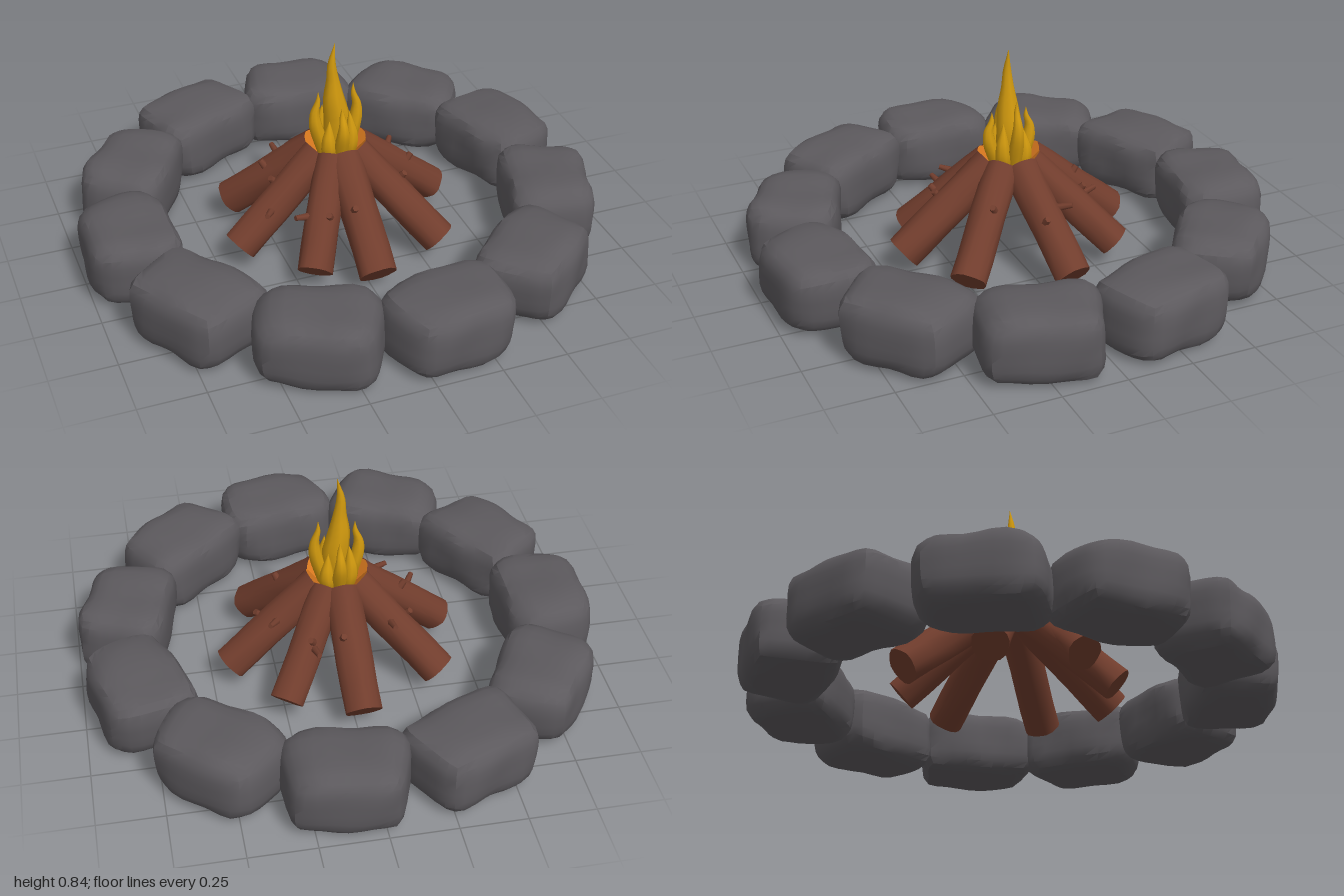
import * as THREE from 'three';
import { toCreasedNormals } from 'three/addons/utils/BufferGeometryUtils.js';

const material = (name, color) => {
  const m = new THREE.MeshStandardMaterial({ color });
  m.name = name;
  return m;
};

// Move every vertex of a geometry by a rule
function reshape(geometry, rule) {
  const p = geometry.attributes.position, v = new THREE.Vector3();
  for (let i = 0; i < p.count; i++) {
    rule(v.fromBufferAttribute(p, i));
    p.setXYZ(i, v.x, v.y, v.z);
  }
  return geometry;
}

// Rounded, lumpy block; x is radial, z runs along the ring
function stoneGeometry(seed) {
  const s = seed * 2.37, n = 4.2;
  const geometry = reshape(new THREE.BoxGeometry(2, 2, 2, 7, 7, 8), (v) => {
    const { x, y, z } = v;
    const norm = Math.pow(Math.abs(x) ** n + Math.abs(y) ** n + Math.abs(z) ** n, 1 / n);
    const lump = 1 + 0.035 * Math.sin(3.1 * x + s) * Math.cos(2.7 * z - s)
      + 0.025 * Math.sin(5.3 * z + 2 * y + 1.7 * s);
    v.multiplyScalar(lump / norm);
    // outer side a little narrower than the inner side
    v.z *= 1 - 0.06 * v.x;
    v.set(v.x * 0.17, THREE.MathUtils.clamp(v.y * 0.134, -0.13, 0.136), v.z * 0.226);
  });
  return toCreasedNormals(geometry, 0.55);
}

// Log along y with bark grooves; caps stay separate material groups
function logGeometry(length, radius, seed) {
  const geometry = reshape(new THREE.CylinderGeometry(radius, radius, length, 16, 5), (v) => {
    const a = Math.atan2(v.z, v.x);
    const k = 1 + 0.035 * Math.sin(5 * a + seed) + 0.025 * Math.sin(3 * a + 18 * v.y + seed * 2);
    v.x *= k;
    v.z *= k;
  });
  return toCreasedNormals(geometry, 0.7);
}

// Tapering flame through rows of [out, height, radius]
function flameGeometry(rows) {
  const sides = 8, steps = 16, positions = [], index = [];
  const path = new THREE.CatmullRomCurve3(rows.map(([x, y]) => new THREE.Vector3(x, y, 0)));
  const radii = new THREE.CatmullRomCurve3(rows.map(([, , r], i) => new THREE.Vector3(r, i, 0)));
  for (let i = 0; i <= steps; i++) {
    const c = path.getPoint(i / steps);
    const r = i === steps ? 0.0005 : Math.max(0.001, radii.getPoint(i / steps).x);
    for (let j = 0; j < sides; j++) {
      const a = (j / sides) * Math.PI * 2;
      positions.push(c.x + r * Math.cos(a), c.y, c.z + r * Math.sin(a));
      if (i === steps) continue;
      const k = i * sides + j, l = i * sides + ((j + 1) % sides);
      index.push(k, k + sides, l, l, k + sides, l + sides);
    }
  }
  const geometry = new THREE.BufferGeometry();
  geometry.setAttribute('position', new THREE.Float32BufferAttribute(positions, 3));
  geometry.setIndex(index);
  geometry.computeVertexNormals();
  return geometry;
}

export function createModel() {
  const stone = material('grey stone', 0x5c595d);
  const bark = material('brown bark', 0x713d2d);
  const ember = material('orange ember', 0xd9791f);
  const fire = material('yellow flame', 0xcf980e);
  const model = new THREE.Group();
  model.name = 'campfire';

  const add = (parent, name, geometry, mat) => {
    const mesh = new THREE.Mesh(geometry, mat);
    mesh.name = name;
    parent.add(mesh);
    return mesh;
  };

  // Ring of eleven stones
  const ring = new THREE.Group();
  ring.name = 'stoneRing';
  for (let i = 0; i < 11; i++) {
    const a = Math.PI + (i / 11) * Math.PI * 2;
    const mesh = add(ring, 'stone', stoneGeometry(i + 1), stone);
    mesh.position.set(0.826 * Math.cos(a), 0.136, 0.826 * Math.sin(a));
    mesh.rotation.y = -a;
  }
  model.add(ring);

  // Leaning logs: [end x, end z, radius, twig side, twig place]
  const logs = [
    [-0.02, -0.44, 0.07, 0, 0],
    [0.25, -0.33, 0.064, 1, -0.02],
    [0.43, -0.07, 0.067, 1, 0.02],
    [0.31, 0.3, 0.068, 0, 0],
    [0.005, 0.44, 0.071, 0, 0],
    [-0.21, 0.34, 0.066, -1, -0.03],
    [-0.42, 0.085, 0.067, 1, -0.06],
    [-0.35, -0.25, 0.068, -1, 0.03],
  ];
  const pile = new THREE.Group();
  pile.name = 'logPile';
  const up = new THREE.Vector3(0, 1, 0);
  logs.forEach(([x, z, radius, side, place], i) => {
    const out = new THREE.Vector3(x, 0, z).normalize();
    const top = out.clone().multiplyScalar(0.075).setY(0.393);
    const end = new THREE.Vector3(x, 0.095, z);
    const axis = top.clone().sub(end);
    const length = axis.length();
    axis.normalize();
    const log = new THREE.Group();
    log.name = 'log';
    log.position.copy(top).add(end).multiplyScalar(0.5);
    // local y along the log, local z facing up and outward
    const across = new THREE.Vector3().crossVectors(up, out).normalize();
    const face = new THREE.Vector3().crossVectors(across, axis);
    log.quaternion.setFromRotationMatrix(new THREE.Matrix4().makeBasis(across, axis, face));
    add(log, 'logBody', logGeometry(length, radius, i * 1.9), [bark, ember, bark]);
    // Broken twig stubs
    if (side) {
      const twig = add(log, 'twig', new THREE.CylinderGeometry(0.01, 0.016, 0.075, 7), bark);
      twig.position.set(side * 0.062, place, 0.05);
      twig.quaternion.setFromUnitVectors(up, new THREE.Vector3(side * 0.7, -0.35, 0.6).normalize());
    }
    const knot = add(log, 'knot', new THREE.CylinderGeometry(0.012, 0.016, 0.03, 7), bark);
    knot.position.set((i % 2 ? 0.035 : -0.035), 0.04 - 0.03 * (i % 3), 0.06);
    knot.rotation.x = Math.PI / 2;
    pile.add(log);
  });
  model.add(pile);

  // Fire: one tall centre flame with two rings of smaller ones
  const flames = new THREE.Group();
  flames.name = 'fire';
  add(flames, 'centreFlame', flameGeometry([
    [0, 0.34, 0.02], [0, 0.42, 0.05], [0.005, 0.52, 0.053], [-0.008, 0.61, 0.043],
    [-0.012, 0.69, 0.026], [-0.016, 0.76, 0.016], [-0.003, 0.845, 0],
  ]), fire);
  const flameRing = (name, count, turn, heights, rows) => {
    for (let i = 0; i < count; i++) {
      const h = heights[i % heights.length];
      const mesh = add(flames, name, flameGeometry(rows.map(([x, y, r]) => [x, 0.34 + y * h, r])), fire);
      mesh.rotation.y = turn + (i / count) * Math.PI * 2;
    }
  };
  flameRing('outerFlame', 4, 0, [0.325, 0.265, 0.31, 0.265], [
    [0.045, 0, 0.012], [0.06, 0.3, 0.028], [0.081, 0.55, 0.026],
    [0.084, 0.72, 0.018], [0.071, 0.87, 0.01], [0.07, 1, 0],
  ]);
  flameRing('innerFlame', 4, Math.PI / 4, [0.2, 0.23], [
    [0.04, 0, 0.015], [0.058, 0.35, 0.031], [0.064, 0.6, 0.026], [0.06, 0.82, 0.013], [0.056, 1, 0],
  ]);
  model.add(flames);
  return model;
}
